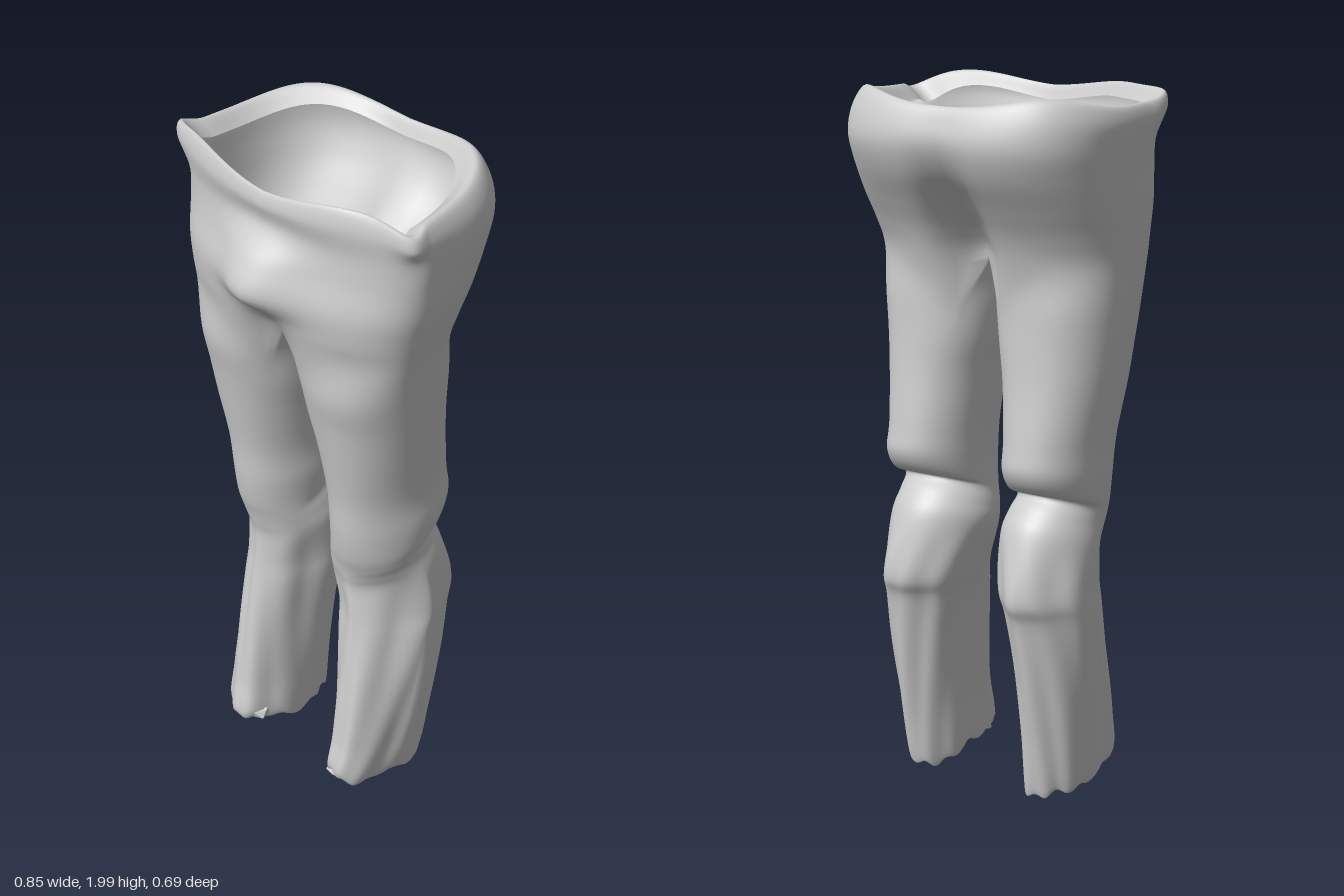
import * as THREE from 'three';
import { mergeVertices } from 'three/addons/utils/BufferGeometryUtils.js';

const OUTER = 64, INNER = 20, COLS = OUTER + INNER, STEPS = 6;
const rad = THREE.MathUtils.degToRad;
const bell = (d, width) => Math.exp(-((d / width) ** 2));
const spow = (v, e) => Math.sign(v) * Math.abs(v) ** (2 / e);

// Hip sections, waist to crotch:
// y, right width, left width, back z, front z, back cleft, front cleft, front and back squareness
const HIPS = [
  [1.945, 0.355, 0.335, -0.287, 0.218, 0, 0, 2, 2.5],
  [1.985, 0.395, 0.38, -0.315, 0.235, 0.004, 0, 2.1, 2.8],
  [1.94, 0.415, 0.41, -0.342, 0.247, 0.008, 0, 2.2, 3],
  [1.87, 0.413, 0.422, -0.355, 0.232, 0.012, 0, 2.3, 3],
  [1.79, 0.408, 0.42, -0.33, 0.24, 0.03, 0, 2.3, 2.9],
  [1.70, 0.403, 0.415, -0.277, 0.262, 0.065, 0, 2.3, 2.85],
  [1.62, 0.395, 0.4, -0.234, 0.26, 0.1, 0.02, 2.3, 2.75],
  [1.54, 0.388, 0.383, -0.207, 0.244, 0.115, 0.06, 2.35, 2.7],
];

// Leg sections, thigh to hem:
// y, slope of y along z, right inner/outer x, left inner/outer x, back z, front z,
// squareness, squareness of the front outer corner
const LEGS = [
  [1.42, 0, 0.004, 0.378, 0.002, 0.367, -0.184, 0.222, 2.25, 2.2],
  [1.31, 0, 0.02, 0.37, 0.015, 0.353, -0.19, 0.2, 2.2, 2.15],
  [1.20, 0, 0.04, 0.36, 0.037, 0.34, -0.2, 0.18, 2.15, 2.1],
  [1.05, 0, 0.06, 0.34, 0.052, 0.325, -0.222, 0.155, 2.1, 2],
  [0.95, -0.12, 0.06, 0.335, 0.055, 0.33, -0.228, 0.147, 2.1, 1.9],
  [0.88, -0.22, 0.066, 0.328, 0.052, 0.325, -0.195, 0.135, 2.1, 1.9],
  [0.845, -0.4, 0.07, 0.32, 0.048, 0.315, -0.138, 0.12, 2.1, 1.8],
  [0.80, -0.35, 0.06, 0.322, 0.032, 0.315, -0.175, 0.112, 2, 1.7],
  [0.74, -0.25, 0.05, 0.33, 0.025, 0.325, -0.22, 0.105, 1.9, 1.5],
  [0.63, 0, 0.06, 0.335, 0.055, 0.335, -0.26, 0.113, 1.8, 1.35],
  [0.55, 0, 0.07, 0.335, 0.075, 0.335, -0.235, 0.125, 1.9, 1.35],
  [0.40, 0, 0.09, 0.325, 0.1, 0.33, -0.21, 0.15, 2, 1.5],
  [0.20, 0, 0.105, 0.31, 0.122, 0.312, -0.18, 0.178, 2.1, 1.85],
  [0.045, 0.14, 0.112, 0.292, 0.132, 0.288, -0.155, 0.19, 2.2, 2.1],
  [0.085, 0.1, 0.13, 0.27, 0.15, 0.27, -0.14, 0.04, 2.1, 2.1],
];

// Point on half of the hips, from front centre round the side to back centre
function hipPoint(row, k, side) {
  const [y, xr, xl, zb, zf, cleftB, cleftF, squareF, squareB] = HIPS[row];
  const a = rad(90 - 180 * k / OUTER), e = a > 0 ? squareF : squareB, zc = 0.06;
  const s = spow(Math.sin(a), e);
  let x = k % OUTER ? (side < 0 ? xr : xl) * spow(Math.cos(a), e) : 0;
  let z = zc + s * (s > 0 ? zf - zc : zc - zb);
  let py = y;
  if (s > 0) z += 0.09 * bell(x, 0.12) * bell(y - 1.74, 0.08) - cleftF * bell(x, 0.07);
  else z += cleftB * bell(x, 0.075);
  if (row < 3) {
    // wavy waist edge with a blunt corner at each hip
    const corner = bell(a - rad(side < 0 ? 22 : 15), rad(14));
    py += (row < 2 ? 0.015 : 0.007) * Math.cos(4 * (Math.abs(a) - rad(50)));
    py += (side < 0 ? 0.015 : -0.02) * corner;
    x += [0.015, 0.035, 0.025][row] * corner;
    z += 0.015 * corner;
  }
  return new THREE.Vector3(x, py, z);
}

// Point on the closed loop of a leg
function legPoint(row, k, side) {
  const [y, slope, ri, ro, li, lo, zb, zf, square, squareCorner] = LEGS[row];
  const xi = side < 0 ? ri : li, xo = side < 0 ? ro : lo;
  const a = rad(k <= OUTER ? 135 - 270 * k / OUTER : -135 - 90 * (k - OUTER) / INNER);
  const e = Math.cos(a) > 0 && Math.sin(a) > 0 ? squareCorner : square;
  const x = (xi + xo) / 2 + (xo - xi) / 2 * spow(Math.cos(a), e);
  const z = (zb + zf) / 2 + (zf - zb) / 2 * spow(Math.sin(a), e);
  const ragged = row >= LEGS.length - 2 ? 0.014 * Math.sin(7 * a + side) * Math.cos(3 * a) : 0;
  return new THREE.Vector3(x, Math.max(0.003, y + slope * z + ragged), z);
}

// Crotch seam between the legs, sagging from back to front
function seamPoint(k) {
  const t = (k - OUTER) / INNER, last = HIPS.length - 1;
  const p = hipPoint(last, OUTER, 1).lerp(hipPoint(last, 0, 1), t);
  p.y -= 0.06 * Math.sin(Math.PI * t);
  return p;
}

// Fine lengthwise creases in the lower legs
function crease(p, k, side) {
  const fade = THREE.MathUtils.smoothstep(0.8 - p.y, 0, 0.15);
  const a = k / COLS * Math.PI * 2;
  const d = fade * (0.005 * Math.sin(5 * a + 2 * p.y + side) + 0.003 * Math.sin(9 * a - 8 * p.y));
  const cx = 0.2, r = Math.hypot(p.x - cx, p.z) || 1;
  p.x += (p.x - cx) / r * d;
  p.z += p.z / r * d;
}

function trousersGeometry() {
  const pos = [], index = [];
  const hipRows = (HIPS.length - 1) * STEPS, legRows = LEGS.length * STEPS;
  const rows = hipRows + legRows + 1;
  for (const side of [-1, 1]) {
    const base = pos.length / 3;
    for (let k = 0; k < COLS; k++) {
      const inner = k > OUTER;
      const keys = inner ? [seamPoint(k)] : HIPS.map((_, r) => hipPoint(r, k, side));
      LEGS.forEach((_, r) => keys.push(legPoint(r, k, side)));
      const curve = new THREE.CatmullRomCurve3(keys, false, 'catmullrom', 0.5);
      for (let j = 0; j < rows; j++) {
        const t = inner ? Math.max(0, j - hipRows) / legRows : j / (rows - 1);
        const p = curve.getPoint(t);
        const centre = k === 0 || k >= OUTER;
        p.x = centre && j <= hipRows ? 0 : Math.max(0, p.x);
        crease(p, k, side);
        pos.push(side * p.x, Math.max(0, p.y), p.z);
      }
    }
    // inner columns exist only below the crotch
    for (let k = 0; k < COLS; k++) {
      for (let j = k >= OUTER ? hipRows : 0; j < rows - 1; j++) {
        const a = base + k * rows + j, b = base + ((k + 1) % COLS) * rows + j;
        if (side > 0) index.push(a, a + 1, b, b, a + 1, b + 1);
        else index.push(a, b, a + 1, b, b + 1, a + 1);
      }
    }
  }
  let geo = new THREE.BufferGeometry();
  geo.setAttribute('position', new THREE.Float32BufferAttribute(pos, 3));
  geo.setIndex(index);
  geo = mergeVertices(geo, 1e-4);
  geo.computeVertexNormals();
  return geo;
}

// Crumpled scrap of cloth at the front of a hem
function hemScrap(side) {
  const geo = new THREE.IcosahedronGeometry(1, 1);
  const p = geo.attributes.position;
  for (let i = 0; i < p.count; i++) {
    const x = p.getX(i), y = p.getY(i), z = p.getZ(i);
    const s = 0.85 + 0.22 * Math.sin(7 * x + 4 * y + side) * Math.cos(5 * z - 3 * y);
    p.setXYZ(i, x * s * 0.07, y * s * 0.04, z * s * 0.065);
  }
  geo.computeVertexNormals();
  const mat = new THREE.MeshStandardMaterial({ color: 0xcccccc, flatShading: true, side: THREE.DoubleSide });
  const mesh = new THREE.Mesh(geo, mat);
  mesh.position.set(side < 0 ? -0.185 : 0.2, side < 0 ? 0.095 : 0.07, 0.125);
  mesh.rotation.z = side * 0.3;
  mesh.name = side < 0 ? 'rightHemScrap' : 'leftHemScrap';
  return mesh;
}

export function createModel() {
  const group = new THREE.Group();
  group.name = 'trousers';
  const cloth = new THREE.MeshStandardMaterial({ color: 0xcccccc, side: THREE.DoubleSide });
  const body = new THREE.Mesh(trousersGeometry(), cloth);
  body.name = 'trouserCloth';
  group.add(body, hemScrap(-1), hemScrap(1));
  return group;
}
